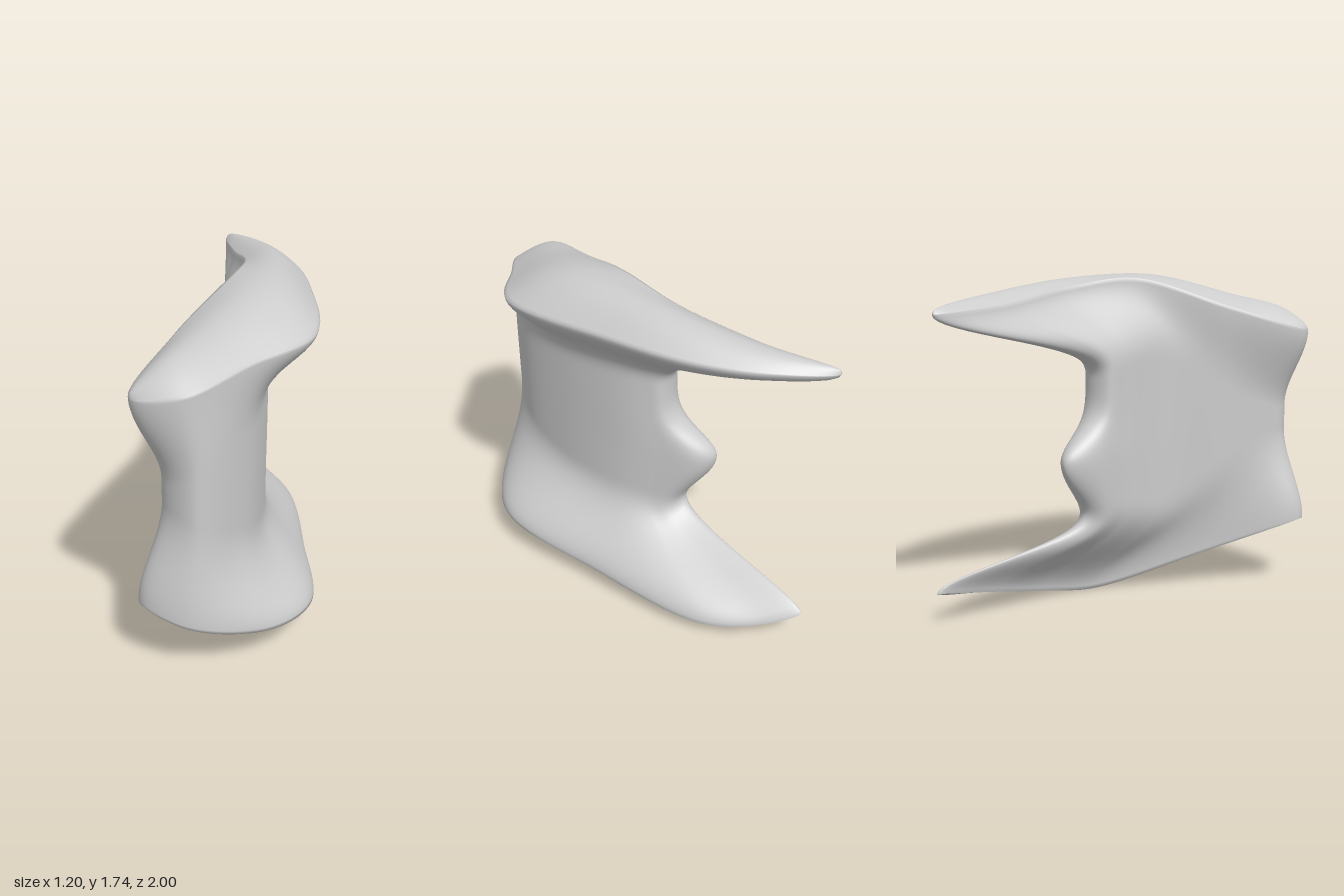
import * as THREE from 'three';
import { mergeVertices } from 'three/addons/utils/BufferGeometryUtils.js';

// Closed outlines seen from above: front end, round the outer side to the rear tip (8th point),
// then back along the inner side.
const loop = (pts) => new THREE.CatmullRomCurve3(pts.map((p) => new THREE.Vector3(...p)), true, 'centripetal');

const topRim = loop([
  [-0.60, 1.43, 0.80], [-0.40, 1.47, 0.94], [-0.05, 1.54, 0.82], [0.28, 1.57, 0.67],
  [0.48, 1.59, 0.08], [0.545, 1.58, -0.38], [0.50, 1.57, -0.72], [0.36, 1.555, -1.00],
  [0.28, 1.59, -0.62], [0.215, 1.67, -0.20], [0.05, 1.71, 0.13], [-0.32, 1.56, 0.455]]);

const waist = loop([
  [-0.46, 0.90, 0.79], [-0.34, 0.90, 0.94], [-0.06, 0.90, 0.78], [0.13, 0.90, 0.47],
  [0.225, 0.90, 0.15], [0.23, 0.90, -0.02], [0.21, 0.90, -0.10], [0.12, 0.90, -0.14],
  [0.03, 0.90, -0.12], [-0.01, 0.90, -0.01], [-0.08, 0.90, 0.21], [-0.30, 0.90, 0.49]]);

const bottomRim = loop([
  [-0.59, 0.38, 0.80], [-0.40, 0.31, 0.98], [0.00, 0.21, 0.96], [0.28, 0.18, 0.78],
  [0.46, 0.12, 0.20], [0.60, 0.07, -0.45], [0.54, 0.10, -0.75], [0.45, 0.17, -0.95],
  [0.39, 0.11, -0.62], [0.35, 0.035, -0.27], [0.25, 0.00, 0.02], [-0.20, 0.20, 0.45]]);

const HALF = 72, N = HALF * 2, SIDE = 80, CAP = 16;
const { smoothstep, lerp } = THREE.MathUtils;
const bump = (x, centre, width) => Math.exp(-(((x - centre) / width) ** 2));

// Outer and inner sides get the same number of samples so they pair up across the crescent
const sample = (curve) => Array.from({ length: N }, (_, j) => {
  const u = j <= HALF ? (7 * j) / HALF : 7 + (5 * (j - HALF)) / HALF;
  return curve.getPoint(u / 12);
});
const along = (j) => (j <= HALF ? j : N - j) / HALF;

export function createModel() {
  const top = sample(topRim), mid = sample(waist), bottom = sample(bottomRim);
  const rows = [];

  // End face: the rim closes in on its middle line, bulging by lift, with a raised step at the front
  const capRow = (rim, k, lift, step) => rim.map((p, j) => {
    const f = along(j);
    const q = p.clone().lerp(p.clone().add(rim[(N - j) % N]).multiplyScalar(0.5), k);
    const swell = Math.sin(k * Math.PI / 2) * Math.sqrt(Math.max(0, Math.sin(Math.PI * f)));
    q.y += swell * (lift + step * bump(f, 0.12, 0.08));
    return q;
  });

  // Wall: gentle flare at the front, tight flare into the rear horns, and a spur on the rear edge
  const wallRow = (v) => mid.map((w, j) => {
    const f = along(j), a = Math.abs(v), low = v < 0;
    const rim = low ? bottom[j] : top[j];
    const rearward = smoothstep(f, 0, 0.45);
    const start = low ? lerp(0.03, 0.4, rearward) : lerp(0.2, 0.44, rearward);
    const power = low ? lerp(1, 1.5, rearward) + 0.9 * smoothstep(f, 0.6, 1) : lerp(1, 1.7, rearward);
    const q = w.clone().lerp(rim, smoothstep(a, start, 1) ** power);
    q.y = lerp(w.y, rim.y, a);
    q.z -= 0.235 * bump(f, 1, 0.26) * bump(q.y, 0.78, q.y > 0.78 ? 0.16 : 0.25);
    return q;
  });

  for (let i = CAP; i > 0; i--) rows.push(capRow(bottom, i / CAP, 0, 0));
  for (let i = 0; i <= SIDE; i++) rows.push(wallRow((2 * i) / SIDE - 1));
  for (let i = 1; i <= CAP; i++) rows.push(capRow(top, i / CAP, 0.08, 0.04));

  const positions = rows.flatMap((row) => row.flatMap((p) => [p.x, p.y, p.z]));
  const index = [];
  for (let r = 0; r < rows.length - 1; r++) {
    for (let j = 0; j < N; j++) {
      const a = r * N + j, b = r * N + ((j + 1) % N);
      index.push(a, b, a + N, b, b + N, a + N);
    }
  }
  let geometry = new THREE.BufferGeometry();
  geometry.setAttribute('position', new THREE.Float32BufferAttribute(positions, 3));
  geometry.setIndex(index);
  geometry = mergeVertices(geometry, 1e-5);
  geometry.computeVertexNormals();

  const body = new THREE.Mesh(geometry, new THREE.MeshStandardMaterial({ color: 0xcccccc }));
  body.name = 'flaredCrescentBody';
  const group = new THREE.Group();
  group.name = 'hornedCrescent';
  group.add(body);
  return group;
}
